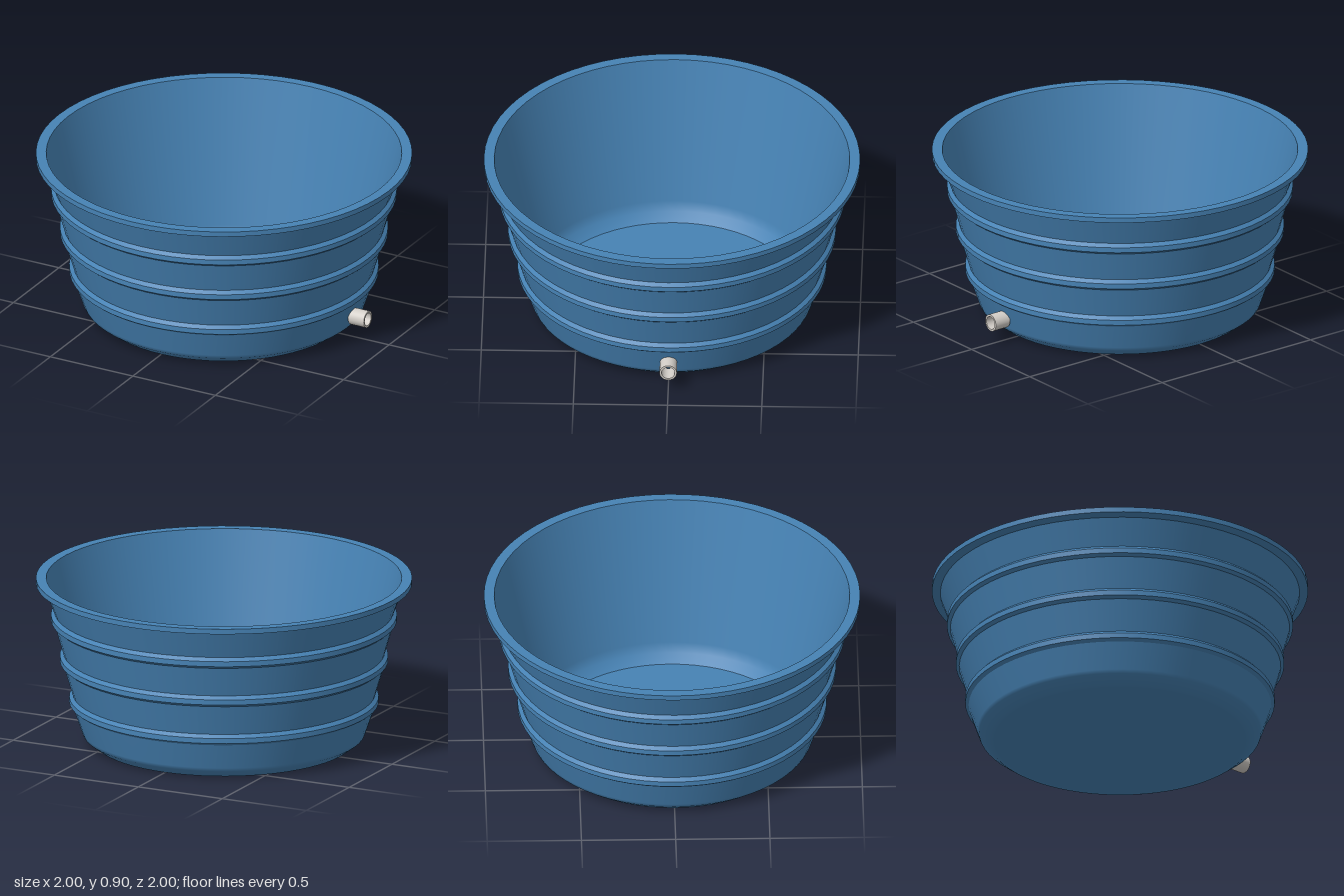
import * as THREE from 'three';

const SEGMENTS = 64;

// One smooth surface of revolution from [radius, height] pairs
function turned(name, profile, material, segments = SEGMENTS) {
  const points = profile.map(([r, y]) => new THREE.Vector2(r, y));
  const mesh = new THREE.Mesh(new THREE.LatheGeometry(points, segments), material);
  mesh.name = name;
  return mesh;
}

// Surface of revolution with a hard edge at every profile point
function turnedSharp(name, profile, material, segments = SEGMENTS) {
  const group = new THREE.Group();
  group.name = name;
  for (let i = 1; i < profile.length; i++) {
    group.add(turned(name + 'Face' + i, [profile[i - 1], profile[i]], material, segments));
  }
  return group;
}

export function createModel() {
  const blue = new THREE.MeshStandardMaterial({ color: 0x4682b4 });
  blue.name = 'tub blue';
  const grey = new THREE.MeshStandardMaterial({ color: 0xd3cec8 });
  grey.name = 'spout grey';

  const model = new THREE.Group();
  model.name = 'tub';

  // Flat underside with a softened lower corner
  model.add(turned('base', [
    [0, 0.936], [0.66, 0.936], [0.69, 0.937], [0.747, 0.98], [0.755, 1.0], [0.803, 1.14],
  ], blue));

  // Three raised ribs, each followed by a tapered wall section
  const ribs = [[0.803, 1.14], [0.853, 1.367], [0.9, 1.592]];
  const rimUnder = [0.953, 1.797];
  ribs.forEach(([r, y], i) => {
    const wallStart = [r, y + 0.06];
    model.add(turnedSharp('rib' + (i + 1), [
      [r, y], [r + 0.018, y + 0.014], [r + 0.018, y + 0.042], wallStart,
    ], blue));
    model.add(turned('wall' + (i + 1), [wallStart, ribs[i + 1] || rimUnder], blue));
  });

  // Overhanging lip
  model.add(turnedSharp('rim', [
    rimUnder, [0.998, 1.808], [0.998, 1.836], [0.943, 1.836],
  ], blue));

  // Smooth inner wall curving into the floor
  model.add(turned('innerWall', [
    [0.943, 1.836], [0.755, 1.06], [0.738, 1.005], [0.688, 0.965],
  ], blue));
  model.add(turned('floor', [[0.688, 0.965], [0, 0.965]], blue));

  // Hollow drain spout pointing to the left side
  const spout = turnedSharp('drainSpout', [
    [0.035, 0], [0.046, 0], [0.046, 0.095], [0.035, 0.095], [0.035, 0],
  ], grey, 32);
  spout.rotation.z = -Math.PI / 2;
  spout.position.set(0.777, 1.056, 0);
  model.add(spout);

  return model;
}
